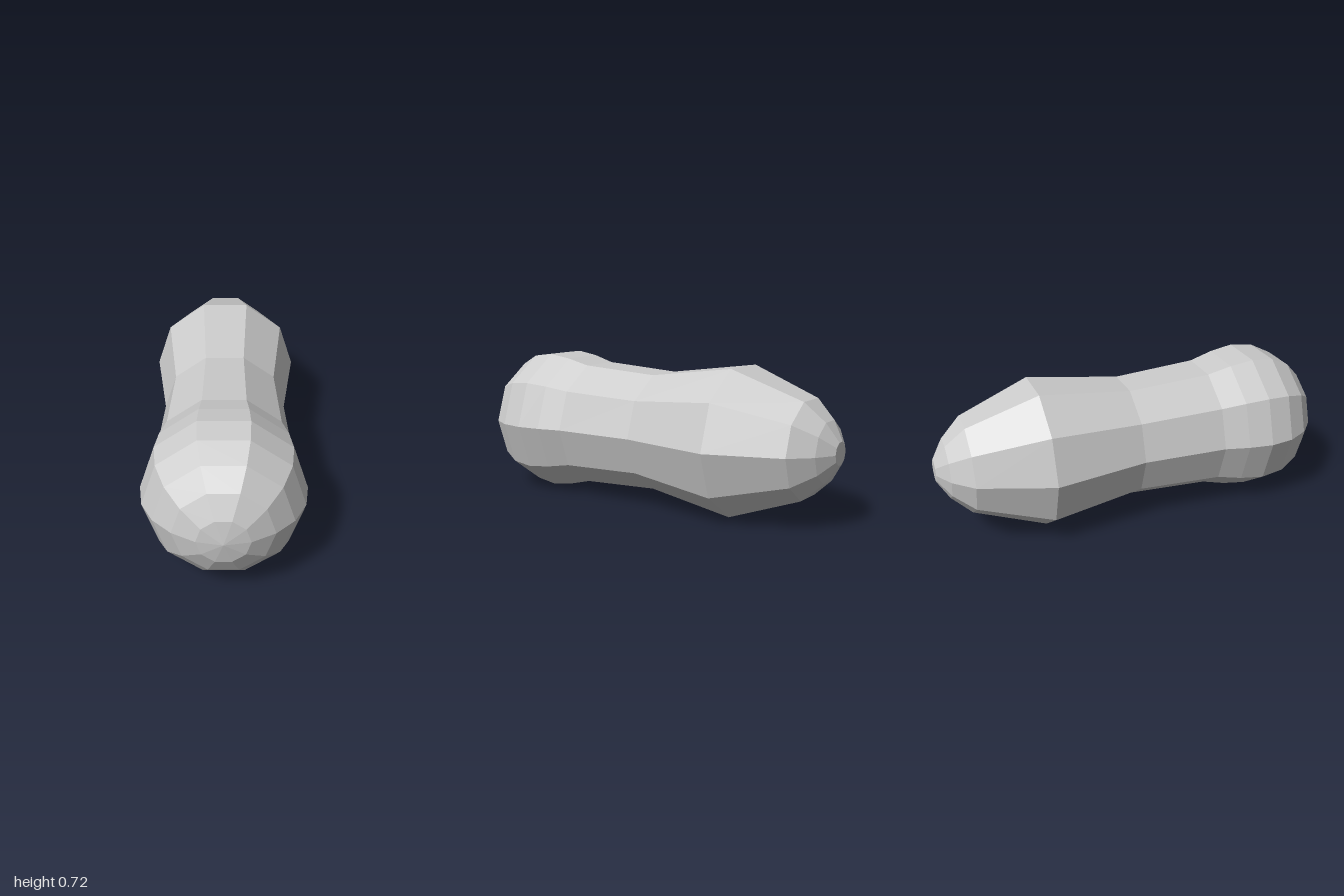
import * as THREE from 'three';

// Profile from the back tip to the front tip: [radius, z]
const PROFILE = [
  [0, -1], [0.055, -1], [0.147, -0.945], [0.239, -0.85], [0.372, -0.5],
  [0.305, -0.04], [0.328, 0.38], [0.36, 0.5], [0.378, 0.62], [0.362, 0.74],
  [0.307, 0.845], [0.222, 0.925], [0.117, 0.98], [0, 1],
];
const SIDES = 10;

export function createModel() {
  const group = new THREE.Group();
  group.name = 'peanutShape';

  // Ten-sided body turned about the z axis, with a corner on each side
  const points = PROFILE.map(([r, z]) => new THREE.Vector2(r, z));
  const geometry = new THREE.LatheGeometry(points, SIDES, Math.PI / 2);
  geometry.rotateX(Math.PI / 2);

  const material = new THREE.MeshStandardMaterial({ color: 0xcccccc, flatShading: true });
  const body = new THREE.Mesh(geometry, material);
  body.name = 'body';
  // Rest the flat lower side on the ground
  body.position.y = 0.378 * Math.cos(Math.PI / SIDES);
  group.add(body);

  return group;
}
